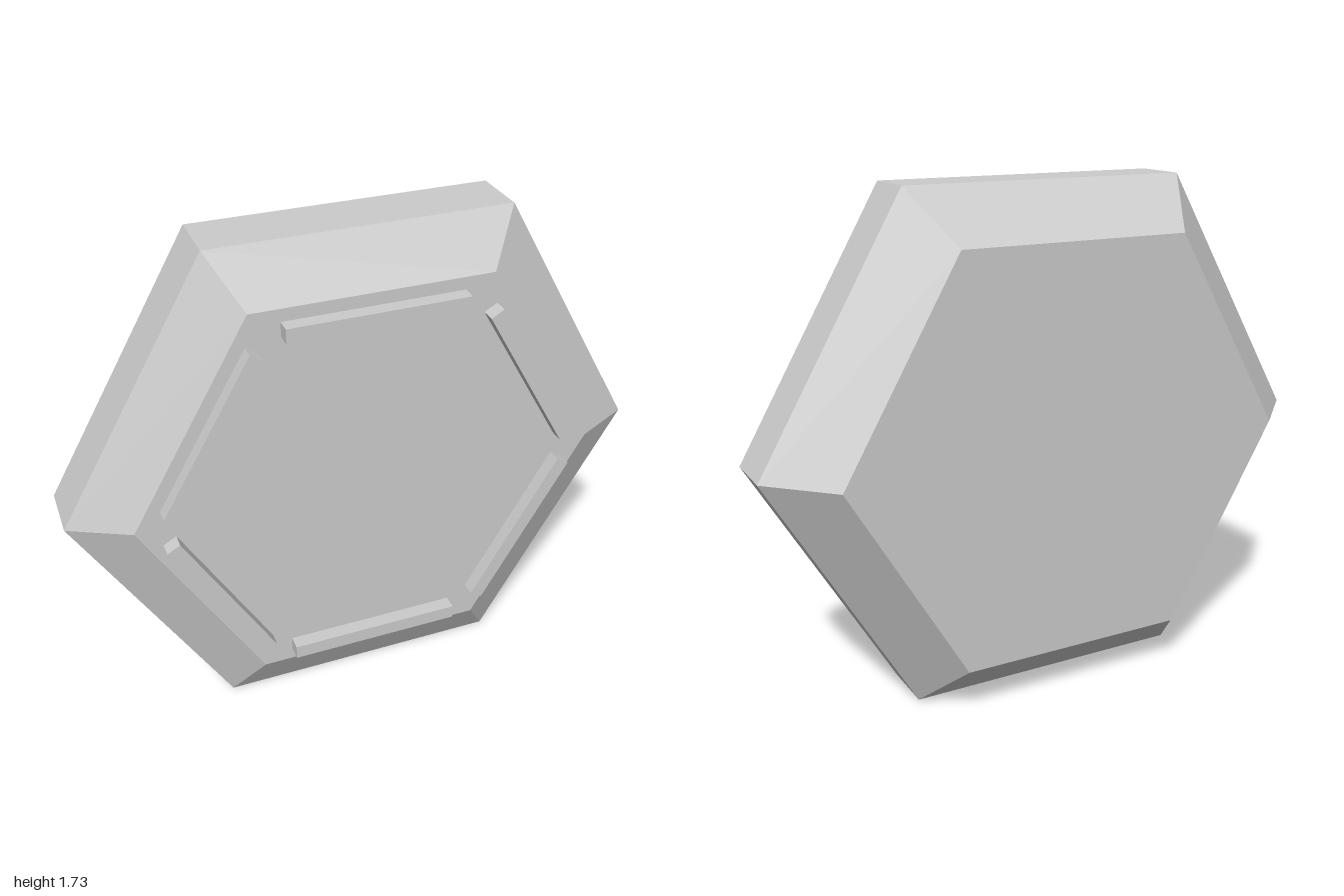
import * as THREE from 'three';

export function createModel() {
  const model = new THREE.Group();
  const material = new THREE.MeshStandardMaterial({ color: 0xcccccc, flatShading: true });
  const centerY = Math.sqrt(3) / 2;

  // Hexagonal body with a shallow front bevel and a deeper back bevel
  const profile = [
    [0, -0.275], [0.8, -0.275], [1, -0.075], [1, 0.125], [0.8, 0.225], [0, 0.225],
  ].map(([r, z]) => new THREE.Vector2(r, z));
  const bodyGeometry = new THREE.LatheGeometry(profile, 6, Math.PI / 2);
  bodyGeometry.rotateX(Math.PI / 2);
  const body = new THREE.Mesh(bodyGeometry, material);
  body.name = 'hexagonalBody';
  body.position.y = centerY;
  model.add(body);

  // Six raised bars, one along each edge of the front face
  const bars = new THREE.Group();
  bars.name = 'frontBars';
  bars.position.y = centerY;
  const barGeometry = new THREE.BoxGeometry(0.6, 0.05, 0.05);
  barGeometry.translate(0, 0.625, 0.25);
  for (let i = 0; i < 6; i++) {
    const bar = new THREE.Mesh(barGeometry, material);
    bar.name = `edgeBar${i + 1}`;
    bar.rotation.z = (i * Math.PI) / 3;
    bars.add(bar);
  }
  model.add(bars);

  return model;
}
